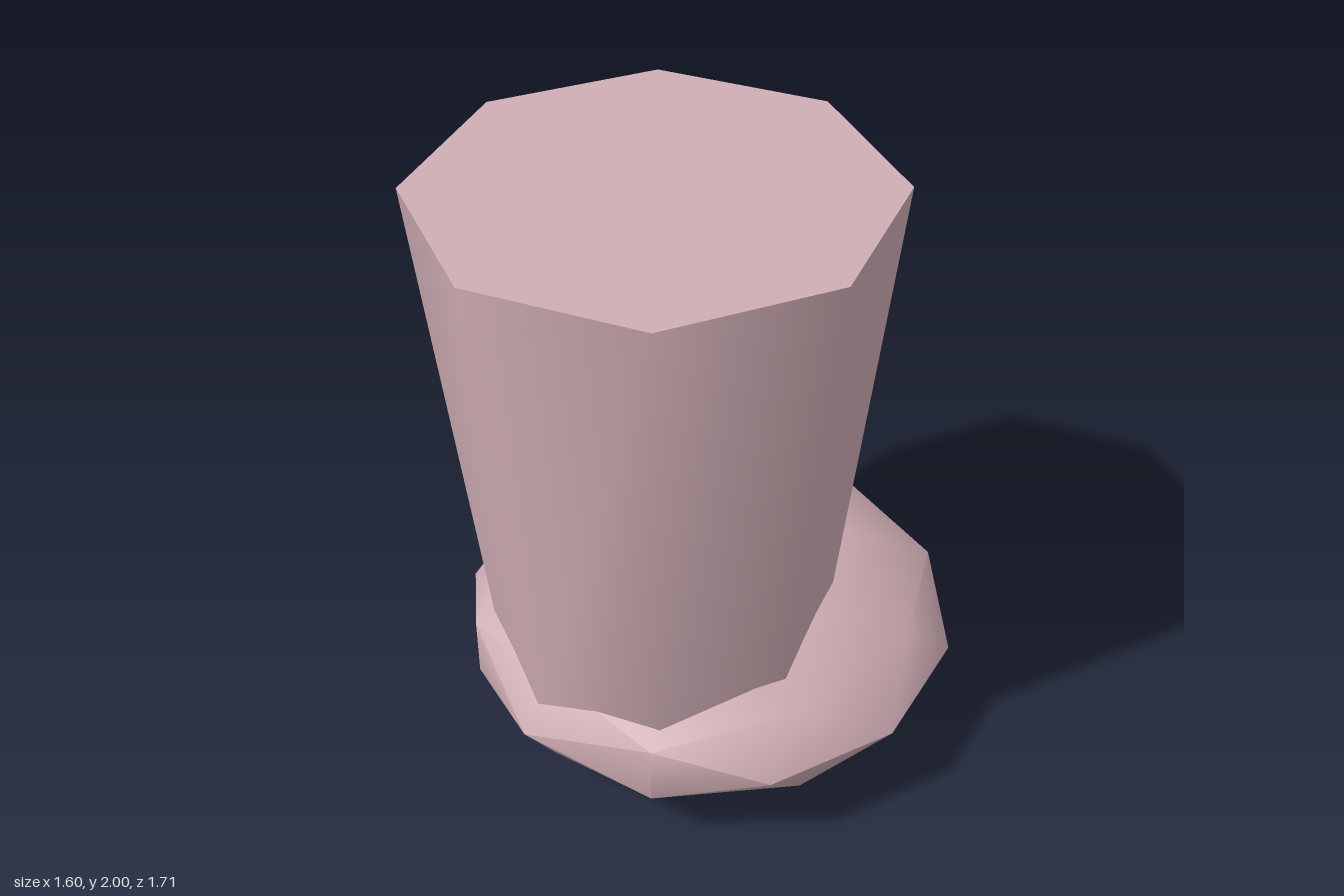
import * as THREE from 'three';
import { toCreasedNormals } from 'three/addons/utils/BufferGeometryUtils.js';

const CREASE = 0.8;

export function createModel() {
  const model = new THREE.Group();
  model.name = 'legAndFoot';
  const skin = new THREE.MeshStandardMaterial({ color: 0xd0aeb5 });
  skin.name = 'dusty pink';

  const addPart = (name, geometry) => {
    const mesh = new THREE.Mesh(toCreasedNormals(geometry, CREASE), skin);
    mesh.name = name;
    model.add(mesh);
  };

  // Foot: squashed low-poly ball resting on the ground
  const foot = new THREE.IcosahedronGeometry(1, 1);
  foot.scale(0.8, 0.32, 0.8);
  foot.translate(0, 0.32, -0.06);
  addPart('foot', foot);

  // Leg: tapered eight-sided column sunk into the foot, set towards the front
  const bottom = 0.32, top = 2;
  const leg = new THREE.CylinderGeometry(0.705, 0.518, top - bottom, 8);
  leg.translate(0, (top + bottom) / 2, 0.15);
  addPart('leg', leg);

  return model;
}
